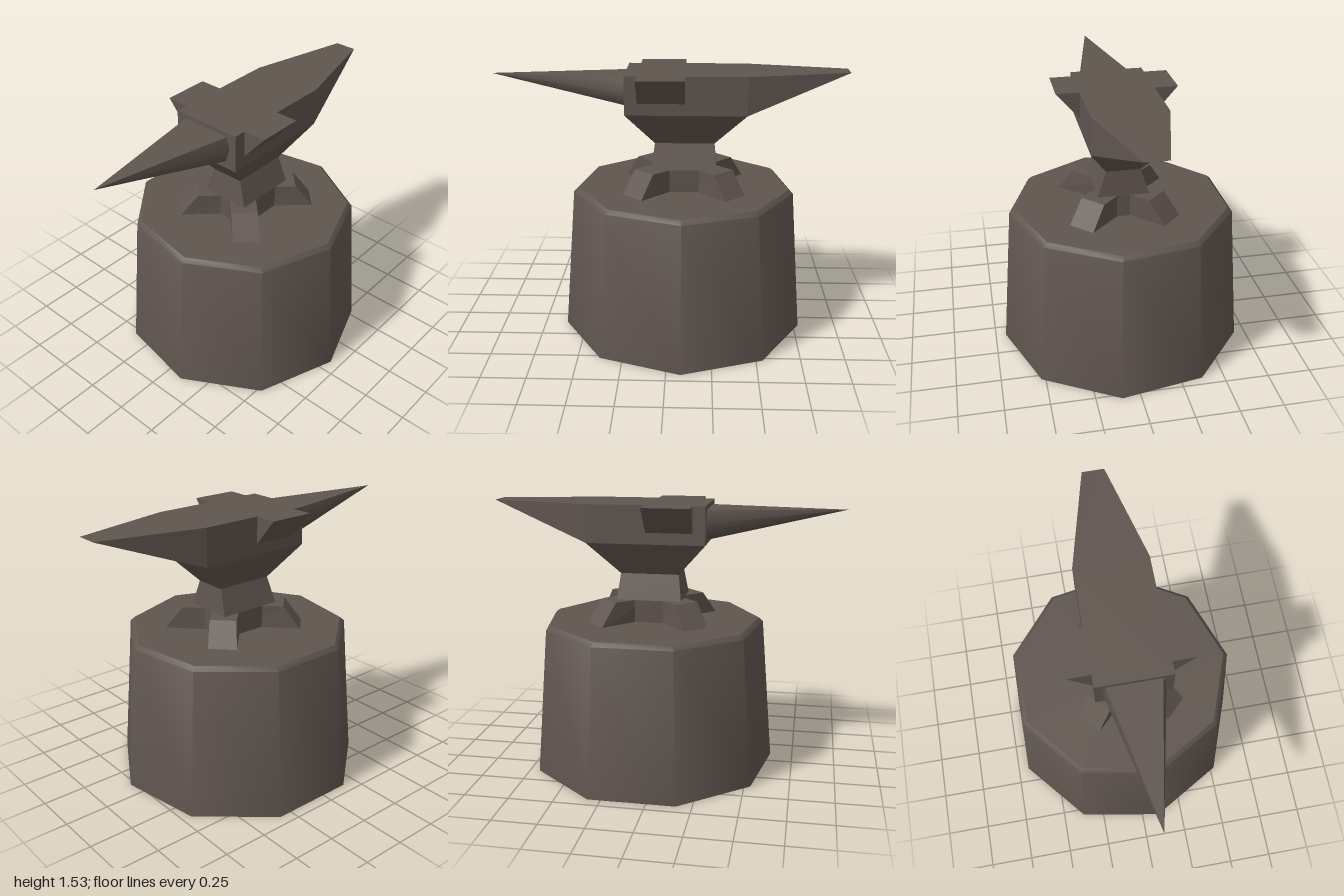
import * as THREE from 'three';
import { toCreasedNormals } from 'three/addons/utils/BufferGeometryUtils.js';

// Skin a list of rings (points counter-clockwise seen from the last ring's side), flat shaded, capped.
function loft(rings) {
  const pos = [];
  const tri = (a, b, c) => pos.push(...a, ...b, ...c);
  const n = rings[0].length;
  for (let r = 0; r < rings.length - 1; r++) {
    const a = rings[r], b = rings[r + 1];
    for (let i = 0; i < n; i++) {
      const j = (i + 1) % n;
      tri(a[i], a[j], b[j]);
      tri(a[i], b[j], b[i]);
    }
  }
  const first = rings[0], last = rings[rings.length - 1];
  for (let i = 1; i < n - 1; i++) {
    tri(first[0], first[i + 1], first[i]);
    tri(last[0], last[i], last[i + 1]);
  }
  const g = new THREE.BufferGeometry();
  g.setAttribute('position', new THREE.Float32BufferAttribute(pos, 3));
  g.computeVertexNormals();
  return g;
}

// Horizontal rectangle ring
const rect = (y, x, zBack, zFront) =>
  [[x, y, zFront], [x, y, zBack], [-x, y, zBack], [-x, y, zFront]];

export function createModel() {
  const group = new THREE.Group();
  const material = new THREE.MeshStandardMaterial({ color: 0x60554f });
  material.name = 'dark brown';
  const add = (name, geometry) => {
    const mesh = new THREE.Mesh(geometry, material);
    mesh.name = name;
    group.add(mesh);
    return mesh;
  };

  const top = 1.535;

  // Nine-sided tapered stump with a small bevel
  const profile = [[0, 0], [0.71, 0], [0.64, 0.84], [0.615, 0.862], [0, 0.862]]
    .map(([r, y]) => new THREE.Vector2(r, y));
  const stump = add('stump',
    toCreasedNormals(new THREE.LatheGeometry(profile, 9, Math.PI / 2), 0.75));
  stump.position.set(-0.02, 0, -0.08);

  // Core, waist and head of the anvil
  add('body', loft([
    rect(0.85, 0.145, -0.27, 0.1),
    rect(0.99, 0.145, -0.27, 0.1),
    rect(1.135, 0.095, -0.255, 0.08),
    rect(1.32, 0.205, -0.43, 0.242),
    rect(top, 0.205, -0.43, 0.242),
  ]));

  // Heel tapering back to a thin edge
  const heelRing = (x, low, z) => [[-x, low, z], [-x, top, z], [x, top, z], [x, low, z]];
  add('heel', loft([heelRing(0.205, 1.32, -0.43), heelRing(0.062, top - 0.001, -1)]));

  // Horn tapering forward to a point, flat on top
  const section = [[-0.145, 1.51], [-0.165, 1.437], [-0.135, 1.36], [0, 1.327],
    [0.135, 1.36], [0.165, 1.437], [0.145, 1.51]];
  add('horn', toCreasedNormals(loft([
    section.map(([x, y]) => [x, y, 0.24]),
    section.map(([x, y]) => [x * 0.003, 1.51 + (y - 1.51) * 0.003, 1]),
  ]), 1.1));

  // Side ledges
  for (const s of [1, -1]) {
    const tri = [[0.205, 1.385], [0.335, top], [0.205, top]];
    if (s < 0) tri.reverse();
    add(s > 0 ? 'leftLedge' : 'rightLedge',
      loft([-0.09, 0.172].map(z => tri.map(([x, y]) => [s * x, y, z]))));
  }

  // Four diagonal feet with sloped ends
  const footLow = [[0.31, 0.235], [0.06, 0], [0, 0.15], [0.2, 0.345]];
  const footHigh = [[0.23, 0.17], [0.06, 0], [0, 0.15], [0.125, 0.275]];
  for (const sx of [1, -1]) {
    for (const sz of [1, -1]) {
      const ring = (pts, y) => {
        const out = pts.map(([x, z]) => [sx * x, y, -0.085 + sz * z]);
        return sx * sz < 0 ? out.reverse() : out;
      };
      add((sz > 0 ? 'front' : 'back') + (sx > 0 ? 'Left' : 'Right') + 'Foot',
        loft([ring(footLow, 0.858), ring(footHigh, 0.99)]));
    }
  }
  return group;
}
